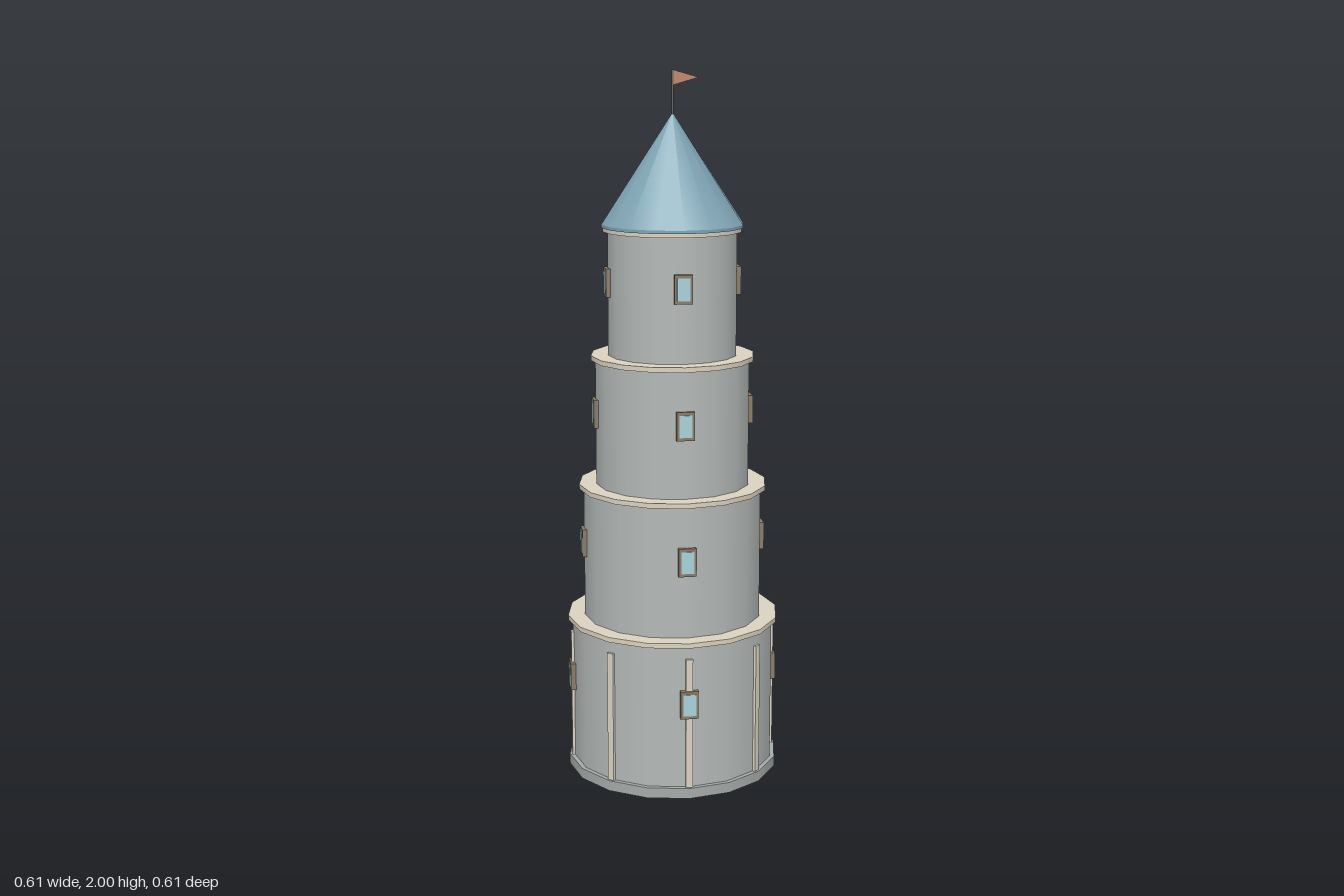
import * as THREE from 'three';

const SIDES = 16;
const mat = (color, extra = {}) => new THREE.MeshStandardMaterial({ color, ...extra });

export function createModel() {
  const tower = new THREE.Group();
  tower.name = 'tower';

  const wall = mat(0xb4bab8);
  const stone = mat(0xdcd4c0);
  const plinthStone = mat(0xa6acaa);
  const wood = mat(0xa07d50);
  const frameWood = mat(0x8a7c68);
  const glass = mat(0xa9d3dc);
  const slate = mat(0x7fa5b5);
  const cloth = mat(0xc08468, { side: THREE.DoubleSide });
  const iron = mat(0x6a6460);

  const add = (name, geometry, material, parent = tower) => {
    const mesh = new THREE.Mesh(geometry, material);
    mesh.name = name;
    parent.add(mesh);
    return mesh;
  };

  // Upright drum between two heights
  const drum = (name, rTop, rBottom, y0, y1, material, sides = SIDES) => {
    const g = new THREE.CylinderGeometry(rTop, rBottom, y1 - y0, sides);
    return add(name, g.translate(0, (y0 + y1) / 2, 0), material);
  };

  // Group turned to face outward at an angle around the tower
  const facing = (name, angle) => {
    const g = new THREE.Group();
    g.name = name;
    g.rotation.y = angle;
    tower.add(g);
    return g;
  };

  const box = (name, w, h, d, x, y, z, material, parent) =>
    add(name, new THREE.BoxGeometry(w, h, d).translate(x, y, z), material, parent);

  // Plinth
  drum('plinth', 0.305, 0.305, 0, 0.03, plinthStone);

  // Four stepped storeys, each capped by a ledge
  const storeys = [
    { r: 0.292, y0: 0.03, y1: 0.442, ledge: 0.305, window: 0.275, out: 0.302 },
    { r: 0.256, y0: 0.455, y1: 0.83, ledge: 0.269, window: 0.675, out: 0.264 },
    { r: 0.22, y0: 0.843, y1: 1.2, ledge: 0.232, window: 1.05, out: 0.228 },
    { r: 0.183, y0: 1.213, y1: 1.56, ledge: 0.196, window: 1.42, out: 0.191 },
  ];
  for (const s of storeys) {
    drum('storeyWall', s.r, s.r, s.y0, s.y1, wall);
    drum('ledge', s.ledge, s.ledge, s.y1, s.y1 + 0.014, stone);

    // One window on each of the four sides
    for (let i = 0; i < 4; i++) {
      const g = facing('window', (i * Math.PI) / 2);
      box('windowFrame', 0.05, 0.08, 0.03, 0, s.window, s.out - 0.015, frameWood, g);
      box('windowPane', 0.036, 0.062, 0.03, 0, s.window, s.out - 0.013, glass, g);
    }
  }

  // Pilasters around the lowest storey
  for (let i = 0; i < 8; i++) {
    const g = facing('pilaster', (i * Math.PI) / 4);
    box('pilasterShaft', 0.02, 0.38, 0.02, 0, 0.217, 0.288, stone, g);
  }

  // Door at the back
  const door = facing('door', Math.PI);
  box('doorSurround', 0.12, 0.215, 0.03, 0, 0.1175, 0.282, stone, door);
  box('doorLeaf', 0.1, 0.2, 0.03, 0, 0.12, 0.2895, wood, door);

  // Conical roof
  drum('roofEave', 0.2, 0.2, 1.571, 1.58, slate);
  const roof = new THREE.ConeGeometry(0.2, 0.305, SIDES, 1);
  add('roof', roof.translate(0, 1.7325, 0), slate);

  // Flagpole and pennant
  drum('flagpole', 0.003, 0.003, 1.87, 2, iron, 8);
  const pennant = new THREE.Shape([
    new THREE.Vector2(0, 2),
    new THREE.Vector2(0, 1.958),
    new THREE.Vector2(0.073, 1.979),
  ]);
  const flag = new THREE.ExtrudeGeometry(pennant, { depth: 0.004, bevelEnabled: false });
  add('pennant', flag.translate(0, 0, -0.002), cloth);

  return tower;
}
